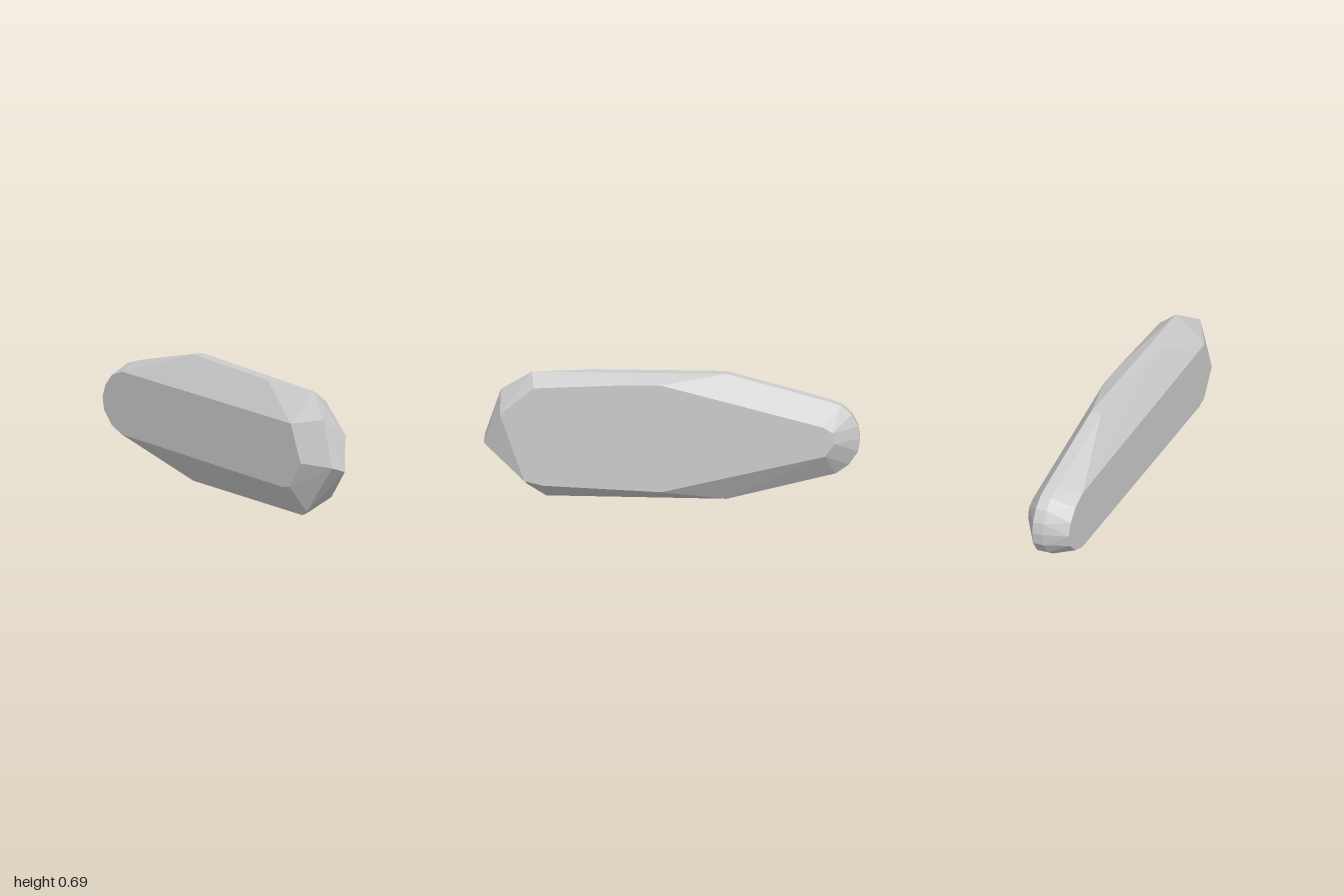
import * as THREE from 'three';
import { ConvexGeometry } from 'three/addons/geometries/ConvexGeometry.js';

// Lifts a [z, y] outline to points at a given x (number or function of z).
function outline(x, pairs) {
  return pairs.map(([z, y]) => new THREE.Vector3(typeof x === 'function' ? x(z) : x, y, z));
}

export function createModel() {
  const stone = new THREE.MeshStandardMaterial({ color: 0xcccccc, flatShading: true });
  stone.name = 'pale grey stone';

  // Rounded tail, shared by both edges of the rim
  const tail = [
    [-0.29, 0.69], [-0.83, 0.55], [-0.9, 0.527], [-0.955, 0.48], [-0.99, 0.415],
    [-1, 0.35], [-0.99, 0.28], [-0.94, 0.205], [-0.87, 0.155], [-0.29, 0.002],
  ];

  const points = [
    // Flat left face
    ...outline(0.137, [
      [0.91, 0.463], [0.73, 0.612], [0.25, 0.64], [0.05, 0.642], [-0.81, 0.43],
      [-0.86, 0.4], [-0.87, 0.34], [-0.82, 0.27], [0.05, 0.055], [0.68, 0.077], [0.78, 0.1],
    ]),
    // Rim, left edge
    ...outline(0.05, [[0.745, 0.681], ...tail, [0.67, 0]]),
    // Rim, right edge
    ...outline(-0.01, [[0.915, 0.565], [0.4, 0.684], [0, 0.687], ...tail.map(([z, y]) => [z * 0.995, y]), [0.72, 0.01]]),
    // Nose tip and chin
    new THREE.Vector3(0.07, 0.288, 1),
    new THREE.Vector3(-0.01, 0.318, 1),
    new THREE.Vector3(-0.02, 0.04, 0.775),
    // Right face, slightly tapered towards the nose
    ...outline((z) => -0.124 + z * 0.0155, [
      [0.85, 0.33], [0.76, 0.53], [0.71, 0.53], [-0.77, 0.52], [-0.86, 0.485],
      [-0.92, 0.42], [-0.945, 0.35], [-0.93, 0.28], [-0.86, 0.21], [-0.77, 0.178],
      [0.69, 0.17], [0.75, 0.185],
    ]),
  ];

  const body = new THREE.Mesh(new ConvexGeometry(points), stone);
  body.name = 'facetedStone';

  const group = new THREE.Group();
  group.name = 'stone';
  group.add(body);
  return group;
}
